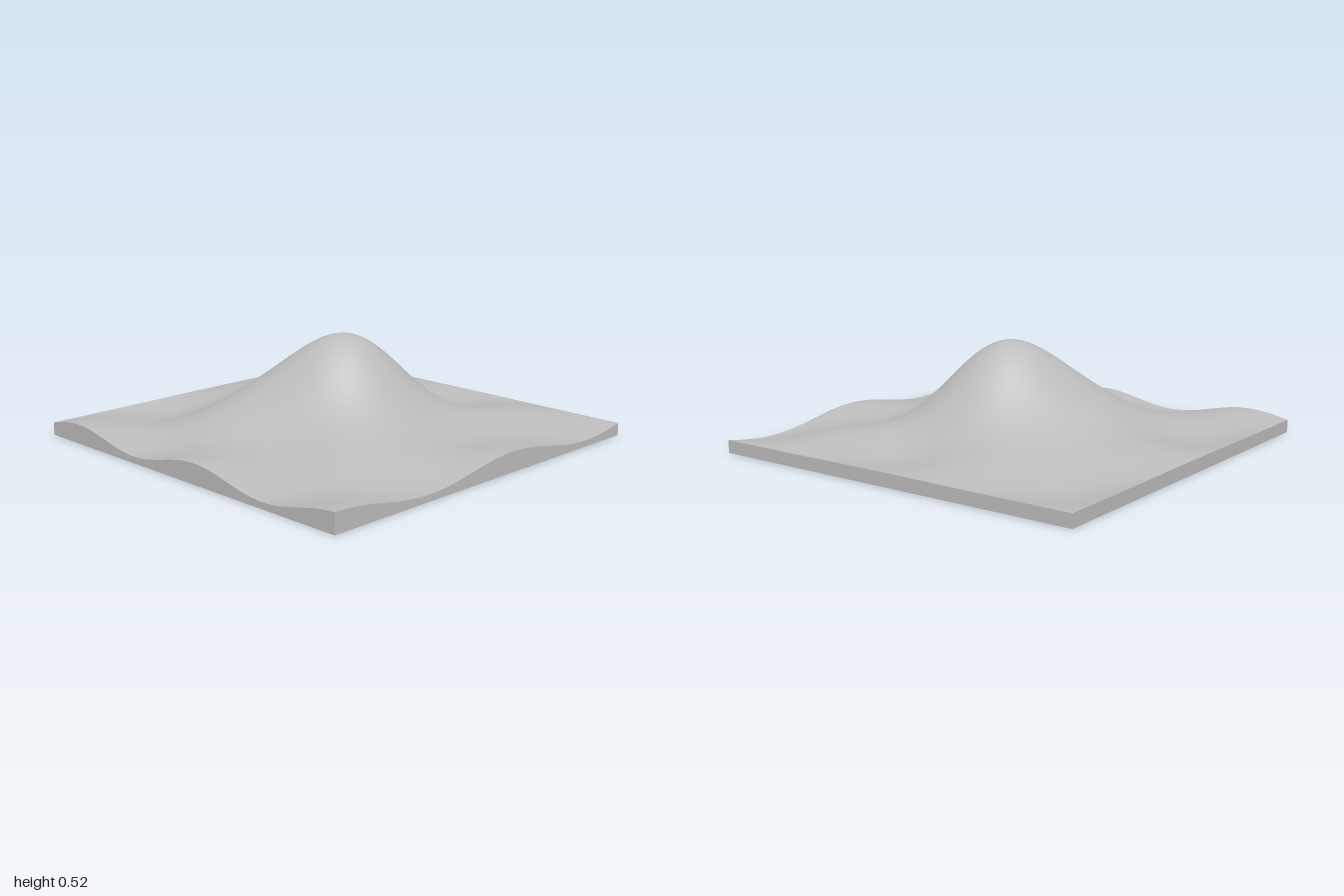
import * as THREE from 'three';

// Terrain height: flat base, one central round hill, and ripples growing from the back-right edges
function height(x, z) {
  const hill = 0.44 * Math.exp(-5 * (x * x + z * z));
  const ripple = -0.033 * Math.sin(7 * (x + 1)) * Math.sin(5.5 * (z + 1));
  return 0.064 + hill + ripple;
}

export function createModel() {
  const group = new THREE.Group();
  group.name = 'terrainModel';

  const stone = new THREE.MeshStandardMaterial({ color: 0xbcbcbc });
  stone.name = 'light grey';

  // Solid slab whose upper vertices follow the height rule; box faces keep their edges sharp
  const geometry = new THREE.BoxGeometry(2, 1, 2, 96, 1, 96);
  const pos = geometry.attributes.position;
  for (let i = 0; i < pos.count; i++) {
    const top = pos.getY(i) > 0;
    pos.setY(i, top ? height(pos.getX(i), pos.getZ(i)) : 0);
  }
  geometry.computeVertexNormals();

  const terrain = new THREE.Mesh(geometry, stone);
  terrain.name = 'hillTerrain';
  group.add(terrain);
  return group;
}
